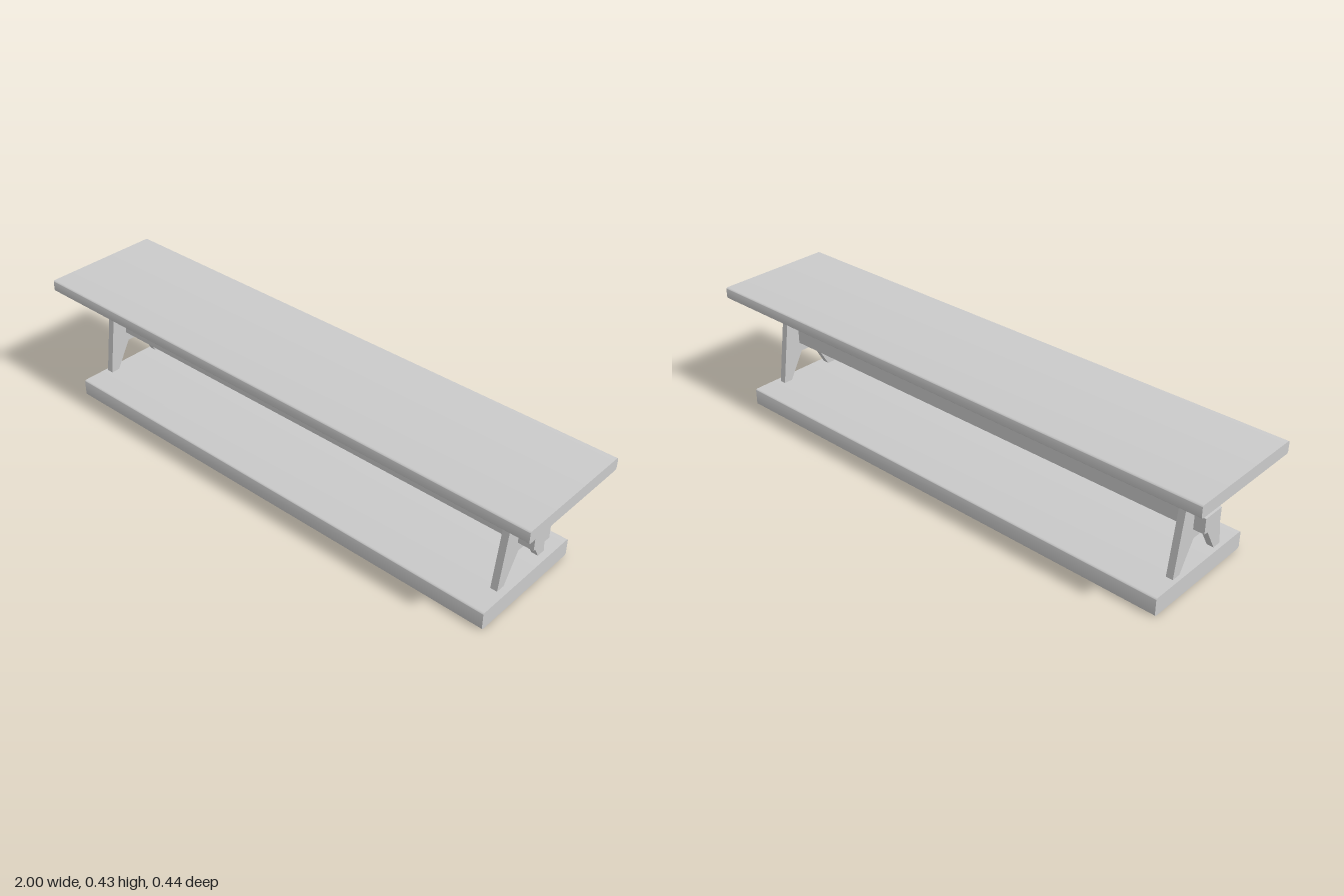
import * as THREE from 'three';
import { toCreasedNormals } from 'three/addons/utils/BufferGeometryUtils.js';

const solid = new THREE.MeshStandardMaterial({ color: 0xcccccc });
const shell = new THREE.MeshStandardMaterial({ color: 0xcccccc, side: THREE.DoubleSide });

// Extrudes a z-y cross-section along x, centred on x = 0
function extrudeAlongX(shape, length) {
  const geometry = new THREE.ExtrudeGeometry(shape, { depth: length, bevelEnabled: false, curveSegments: 4 });
  return geometry.translate(0, 0, -length / 2).rotateY(Math.PI / 2);
}

// Rectangle with rounded corners, half-width w, from y0 to y1
function plankProfile(w, y0, y1, r) {
  const s = new THREE.Shape();
  s.absarc(w - r, y0 + r, r, -Math.PI / 2, 0);
  s.absarc(w - r, y1 - r, r, 0, Math.PI / 2);
  s.absarc(-w + r, y1 - r, r, Math.PI / 2, Math.PI);
  s.absarc(-w + r, y0 + r, r, Math.PI, Math.PI * 1.5);
  s.closePath();
  return s;
}

// Drops the downward-facing triangles, leaving a shell open underneath
function openUnderside(geometry) {
  const p = geometry.getAttribute('position');
  const kept = [];
  const tri = new THREE.Triangle();
  const normal = new THREE.Vector3();
  for (let i = 0; i < p.count; i += 3) {
    tri.setFromAttributeAndIndices(p, i, i + 1, i + 2);
    if (tri.getNormal(normal).y > -0.99) kept.push(tri.a.clone(), tri.b.clone(), tri.c.clone());
  }
  return new THREE.BufferGeometry().setFromPoints(kept);
}

export function createModel() {
  const model = new THREE.Group();
  model.name = 'trestleBench';
  const add = (name, geometry, material, x = 0) => {
    const mesh = new THREE.Mesh(toCreasedNormals(geometry, Math.PI / 6), material);
    mesh.name = name;
    mesh.position.x = x;
    model.add(mesh);
  };

  // Seat plank and hollow base, both with softened long edges
  add('seat', extrudeAlongX(plankProfile(0.22, 0.391, 0.434, 0.008), 2), solid);
  add('base', openUnderside(extrudeAlongX(plankProfile(0.22, 0, 0.064, 0.008), 1.774)), shell);

  // Tapered trestles with an angular notch between the feet
  const half = [[0.032, 0.167], [0.089, 0.067], [0.122, 0.067], [0.074, 0.391]];
  const outline = [...half, ...half.map(([z, y]) => [-z, y]).reverse()];
  const trestle = extrudeAlongX(new THREE.Shape(outline.map(([z, y]) => new THREE.Vector2(z, y))), 0.024);
  add('leftTrestle', trestle, solid, 0.852);
  add('rightTrestle', trestle, solid, -0.862);

  // Hollow stretcher passing through both trestles
  const stretcher = new THREE.BoxGeometry(1.83, 0.054, 0.08).toNonIndexed().translate(0, 0.229, 0);
  add('stretcher', openUnderside(stretcher), shell, 0.003);

  return model;
}
